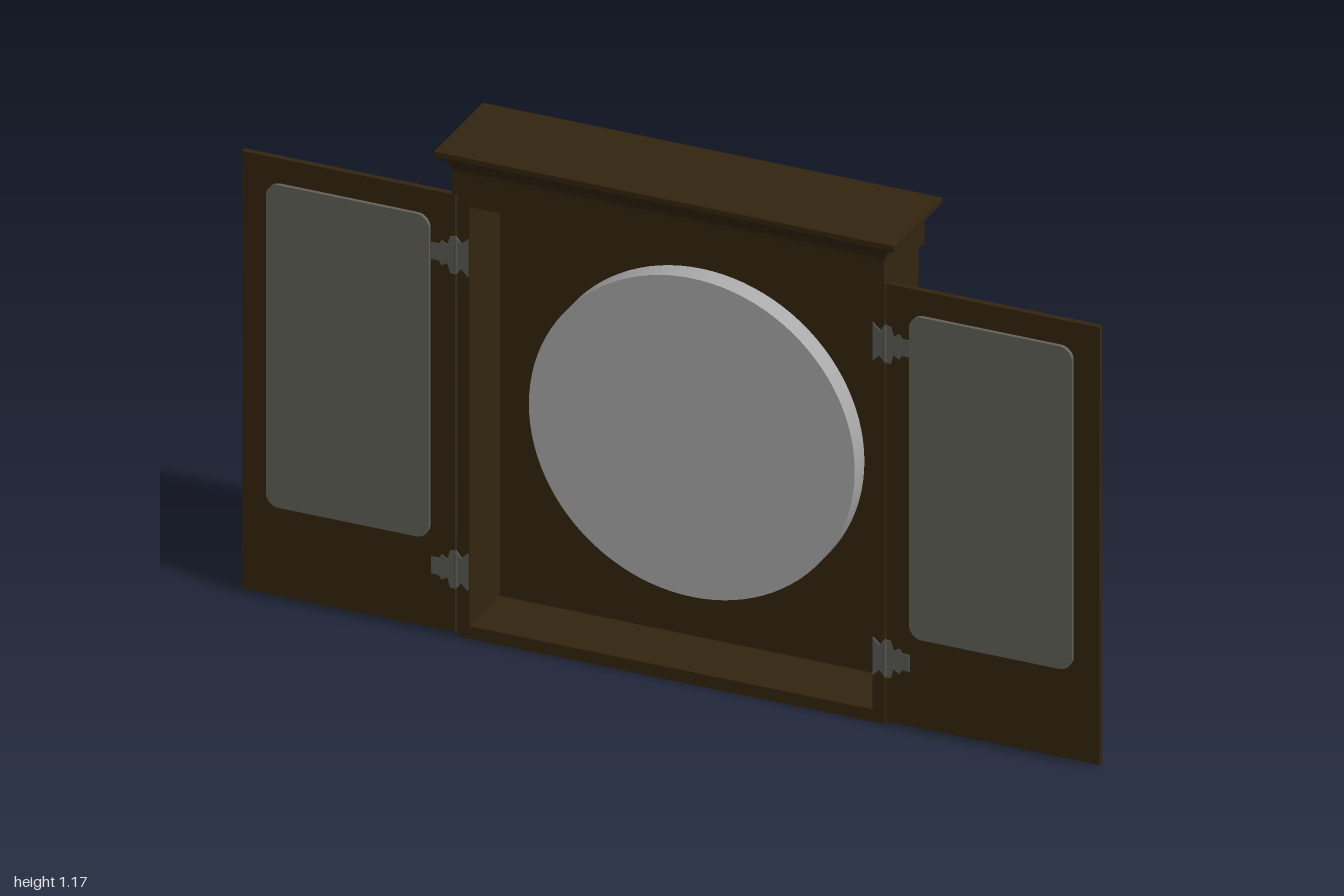
import * as THREE from 'three';

const mat = (name, color) => {
  const m = new THREE.MeshStandardMaterial({ color });
  m.name = name;
  return m;
};

export function createModel() {
  const wood = mat('dark wood', 0x33250f);
  const slate = mat('slate grey', 0x62615a);
  const metal = mat('hinge metal', 0x5a5954);
  const pale = mat('pale grey', 0xaaaaaa);
  const model = new THREE.Group();
  model.name = 'wallCabinet';

  const add = (parent, name, geometry, material, x = 0, y = 0, z = 0) => {
    const mesh = new THREE.Mesh(geometry, material);
    mesh.name = name;
    mesh.position.set(x, y, z);
    parent.add(mesh);
    return mesh;
  };
  // box from its lower and upper limits
  const box = (parent, name, material, x0, x1, y0, y1, z0, z1) =>
    add(parent, name, new THREE.BoxGeometry(x1 - x0, y1 - y0, z1 - z0), material,
      (x0 + x1) / 2, (y0 + y1) / 2, (z0 + z1) / 2);

  // open case
  const back = -0.087, front = 0.088, wall = 0.03;
  box(model, 'backPanel', wood, -0.47, 0.47, wall, 1.03, back, -0.068);
  box(model, 'bottomPanel', wood, -0.497, 0.497, 0, wall, back, front);
  box(model, 'topPanel', wood, -0.497, 0.497, 1.03, 1.062, back, front);
  for (const s of [-1, 1]) {
    const x0 = s < 0 ? -0.497 : 0.47;
    box(model, s < 0 ? 'rightWall' : 'leftWall', wood, x0, x0 + 0.027, wall, 1.03, back, front);
  }

  // round target board
  const disc = add(model, 'roundBoard', new THREE.CylinderGeometry(0.38, 0.38, 0.05, 96), pale, 0, 0.53, -0.043);
  disc.rotation.x = Math.PI / 2;

  // crown moulding: [half width, half depth, height] rings joined by mitred faces
  const rings = [[0.504, 0.104, 1.062], [0.504, 0.104, 1.11]];
  for (let i = 1; i <= 6; i++) {
    const a = (i / 6) * Math.PI / 2, out = 0.022 * (1 - Math.cos(a));
    rings.push([0.504 + out * 1.2, 0.104 + out * 0.8, 1.11 + 0.038 * Math.sin(a)]);
  }
  rings.push([0.536, 0.125, 1.154], [0.536, 0.125, 1.166]);
  const pos = [];
  const corner = (r, k) => {
    const [w, d, y] = r;
    return [[-w, y, d], [w, y, d], [w, y, -d], [-w, y, -d]][k % 4];
  };
  const quad = (a, b, c, d) => pos.push(...a, ...b, ...c, ...a, ...c, ...d);
  for (let i = 0; i + 1 < rings.length; i++)
    for (let k = 0; k < 4; k++)
      quad(corner(rings[i], k), corner(rings[i], k + 1), corner(rings[i + 1], k + 1), corner(rings[i + 1], k));
  const low = rings[0], high = rings[rings.length - 1];
  quad(...[0, 1, 2, 3].map(k => corner(high, k)));
  quad(...[3, 2, 1, 0].map(k => corner(low, k)));
  const crown = new THREE.BufferGeometry();
  crown.setAttribute('position', new THREE.Float32BufferAttribute(pos, 3));
  crown.computeVertexNormals();
  add(model, 'crownMoulding', crown, wood);

  // rounded board on each door
  const w = 0.19, h = 0.385, r = 0.03;
  const plate = new THREE.Shape();
  plate.absarc(w - r, h - r, r, 0, Math.PI / 2);
  plate.absarc(-w + r, h - r, r, Math.PI / 2, Math.PI);
  plate.absarc(-w + r, -h + r, r, Math.PI, Math.PI * 1.5);
  plate.absarc(w - r, -h + r, r, Math.PI * 1.5, Math.PI * 2);
  const plateGeo = new THREE.ExtrudeGeometry(plate, { depth: 0.009, bevelEnabled: false, curveSegments: 8 });

  // butterfly hinge outline, upper half mirrored to the lower half
  const half = [[-0.028, 0.045], [-0.012, 0.03], [0, 0.045], [0.014, 0.044], [0.02, 0.022], [0.034, 0.03], [0.04, 0.02], [0.058, 0.02]];

  for (const s of [-1, 1]) {
    const door = new THREE.Group();
    door.name = s < 0 ? 'rightDoor' : 'leftDoor';
    model.add(door);
    box(door, 'doorPanel', wood, s < 0 ? -1 : 0.503, s < 0 ? -0.503 : 1, 0.01, 1.054, 0.077, 0.091);
    add(door, 'doorBoard', plateGeo, slate, s * 0.75, 0.61, 0.091);

    const pts = [...half, ...half.slice().reverse().map(([x, y]) => [x, -y])];
    const leaf = new THREE.Shape(pts.map(([x, y]) => new THREE.Vector2(x * s, y)));
    const leafGeo = new THREE.ExtrudeGeometry(leaf, { depth: 0.004, bevelEnabled: false });
    for (const y of [0.16, 0.91]) {
      add(door, 'hingeLeaf', leafGeo, metal, s * 0.5, y, 0.089);
      add(door, 'hingeKnuckle', new THREE.CylinderGeometry(0.005, 0.005, 0.08, 12), metal, s * 0.5, y, 0.09);
    }
  }
  return model;
}
